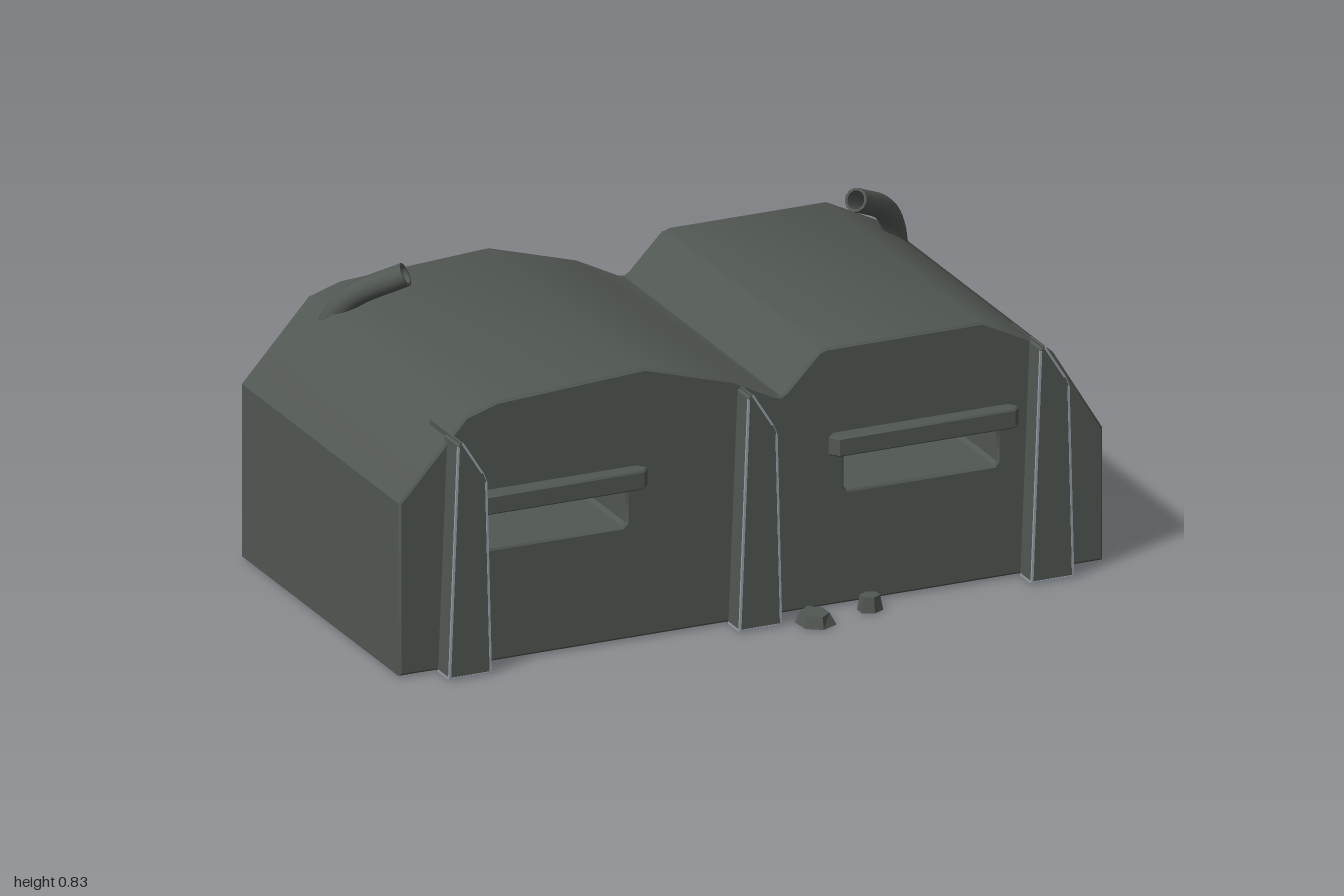
import * as THREE from 'three';
import { toCreasedNormals } from 'three/addons/utils/BufferGeometryUtils.js';

const concrete = new THREE.MeshStandardMaterial({ color: 0x515753 });
concrete.name = 'concrete';
const pipeMetal = new THREE.MeshStandardMaterial({ color: 0x515753, side: THREE.DoubleSide });
pipeMetal.name = 'pipeMetal';
const steel = new THREE.MeshStandardMaterial({ color: 0x98a1a9 });
steel.name = 'steelTrim';

const BACK = -0.493, FRONT = 0.475, BASE = 0.005;

function add(parent, name, geometry, material, x = 0, y = 0, z = 0) {
  const mesh = new THREE.Mesh(geometry, material);
  mesh.name = name;
  mesh.position.set(x, y, z);
  parent.add(mesh);
  return mesh;
}

function outline(points) {
  return new THREE.Shape(points.map(([x, y]) => new THREE.Vector2(x, y)));
}

// Extrusion whose small bevel stays inside the outline and the given depth
function bevelled(shape, depth, b) {
  const g = new THREE.ExtrudeGeometry(shape, {
    depth: depth - 2 * b, bevelEnabled: true, bevelSize: b,
    bevelThickness: b, bevelOffset: -b, bevelSegments: 1,
  });
  return toCreasedNormals(g.translate(0, 0, b), 0.7);
}

// Rectangular slot with clipped corners
function slot(x0, x1, y0, y1, c = 0.01) {
  return new THREE.Path([
    [x0 + c, y0], [x0, y0 + c], [x0, y1 - c], [x0 + c, y1],
    [x1 - c, y1], [x1, y1 - c], [x1, y0 + c], [x1 - c, y0],
  ].map(([x, y]) => new THREE.Vector2(x, y)));
}

// Flat irregular stone
function rock(rand, w, h, d) {
  const g = new THREE.CylinderGeometry(0.42, 0.5, 1, 6, 1);
  const p = g.attributes.position;
  const wobble = Array.from({ length: 6 }, () => 0.9 + rand() * 0.25);
  for (let i = 0; i < p.count; i++) {
    const a = Math.atan2(p.getZ(i), p.getX(i));
    const k = wobble[(Math.round(a / (Math.PI / 3)) + 6) % 6];
    p.setXYZ(i, p.getX(i) * k * w, (p.getY(i) + 0.5) * h, p.getZ(i) * k * d);
  }
  return toCreasedNormals(g, 0.2);
}

export function createModel() {
  const model = new THREE.Group();
  model.name = 'bunker';

  // Double-humped shell with two firing slots right through it
  const shell = outline([
    [-1, BASE], [1, BASE], [1, 0.37], [0.86, 0.6], [0.8, 0.645], [0.66, 0.715],
    [0.215, 0.715], [0.193, 0.708], [0.1, 0.613], [0.085, 0.604], [0.068, 0.608],
    [-0.05, 0.668], [-0.3, 0.742], [-0.72, 0.718], [-0.81, 0.69], [-1, 0.48],
  ]);
  shell.holes.push(slot(-0.785, -0.355, 0.315, 0.422), slot(0.265, 0.7, 0.315, 0.422));
  add(model, 'shell', bevelled(shell, FRONT - BACK, 0.006), concrete, 0, 0, BACK);

  // Hoods above the slots, with pointed ends
  for (const [x0, x1] of [[-0.84, -0.305], [0.21, 0.75]]) {
    const hood = outline([
      [x0 + 0.02, 0], [x1 - 0.02, 0], [x1, -0.025],
      [x1 - 0.02, -0.05], [x0 + 0.02, -0.05], [x0, -0.025],
    ]);
    const g = bevelled(hood, 0.052, 0.004).rotateX(-Math.PI / 2);
    add(model, 'slotHood', g, concrete, 0, 0.428, FRONT - 0.003);
  }

  // Tapered buttresses with steel edging
  for (const x of [-0.83, -0.005, 0.825]) {
    const buttress = new THREE.Group();
    buttress.name = 'buttress';
    buttress.position.x = x;
    model.add(buttress);
    const post = outline([
      [-0.06, 0.002], [0.06, 0.002], [0.046, 0.53], [0.036, 0.557],
      [-0.022, 0.65], [-0.034, 0.64],
    ]);
    const postGeometry = new THREE.ExtrudeGeometry(post, { depth: 0.085, bevelEnabled: false });
    add(buttress, 'post', postGeometry, concrete, 0, 0, 0.458);
    const edges = [
      [-0.058, 0.003, -0.033, 0.638], [0.058, 0.003, 0.045, 0.53],
      [0.034, 0.557, -0.022, 0.647], [-0.058, 0.004, 0.058, 0.004],
    ];
    for (const [ax, ay, bx, by] of edges) {
      const strip = add(buttress, 'edgeStrip',
        new THREE.BoxGeometry(0.006, Math.hypot(bx - ax, by - ay), 0.006), steel,
        (ax + bx) / 2, (ay + by) / 2, 0.5415);
      strip.rotation.z = -Math.atan2(bx - ax, by - ay);
    }
    // Light facet at the shoulder and light sill along the foot
    const shoulder = add(buttress, 'shoulderPlate',
      new THREE.BoxGeometry(0.004, 0.027, 0.066), steel, 0.0418, 0.5435, 0.508);
    shoulder.rotation.z = Math.atan2(0.01, 0.027);
    for (const s of [-1, 1]) {
      add(buttress, 'footStrip', new THREE.BoxGeometry(0.004, 0.006, 0.066), steel, s * 0.059, 0.004, 0.508);
    }
    // Thin fin running back over the roof
    const fin = new THREE.ExtrudeGeometry(outline([[0, 0], [0.19, 0.06], [0.19, 0.07], [0, 0.07]]),
      { depth: 0.002, bevelEnabled: false });
    fin.rotateY(-Math.PI / 2);
    add(buttress, 'fin', fin, concrete, -0.026, 0.58, 0.355);
  }

  // Bent hollow vent pipes at the back of the roof
  for (const s of [-1, 1]) {
    const path = new THREE.CatmullRomCurve3([
      [0.812, 0.61, -0.387], [0.797, 0.67, -0.372], [0.755, 0.733, -0.34], [0.64, 0.802, -0.262],
    ].map(([x, y, z]) => new THREE.Vector3(s * x, y, z)));
    add(model, 'ventPipe', new THREE.TubeGeometry(path, 12, 0.032, 12), pipeMetal);
    add(model, 'ventPipeInside', new THREE.TubeGeometry(path, 12, 0.025, 12), pipeMetal);
    const rim = add(model, 'ventRim', new THREE.RingGeometry(0.025, 0.032, 12), pipeMetal);
    rim.position.copy(path.getPoint(1));
    rim.lookAt(path.getPoint(1).add(path.getTangent(1)));
  }

  // Loose stones around the base
  let seed = 7;
  const rand = () => (seed = (seed * 16807) % 2147483647) / 2147483647;
  const stones = [
    [0.14, 0.565, 0.095, 0.032, 0.11], [0.31, 0.535, 0.065, 0.042, 0.055],
    [0.135, -0.573, 0.115, 0.026, 0.11], [0.07, -0.49, 0.08, 0.016, 0.05],
  ];
  for (const [x, z, w, h, d] of stones) add(model, 'stone', rock(rand, w, h, d), concrete, x, 0, z);

  // Light rubble pressed into the underside
  const rubble = [
    [0.75, -0.31], [0.69, 0], [0.81, 0.26], [0.43, -0.02], [0.33, 0.16], [0.16, -0.14],
    [0.04, -0.42], [0.09, -0.05], [-0.27, -0.13], [-0.14, 0.3], [-0.26, 0.05], [-0.41, 0.21],
    [-0.31, -0.27], [-0.53, -0.03], [-0.22, -0.44], [-0.35, -0.35], [-0.56, -0.36], [-0.89, 0.09],
  ];
  for (const [x, z] of rubble) {
    const size = 0.05 + rand() * 0.04;
    add(model, 'embeddedRubble', rock(rand, size, 0.009, size * 0.7), steel, x, 0.002, z);
  }
  return model;
}
